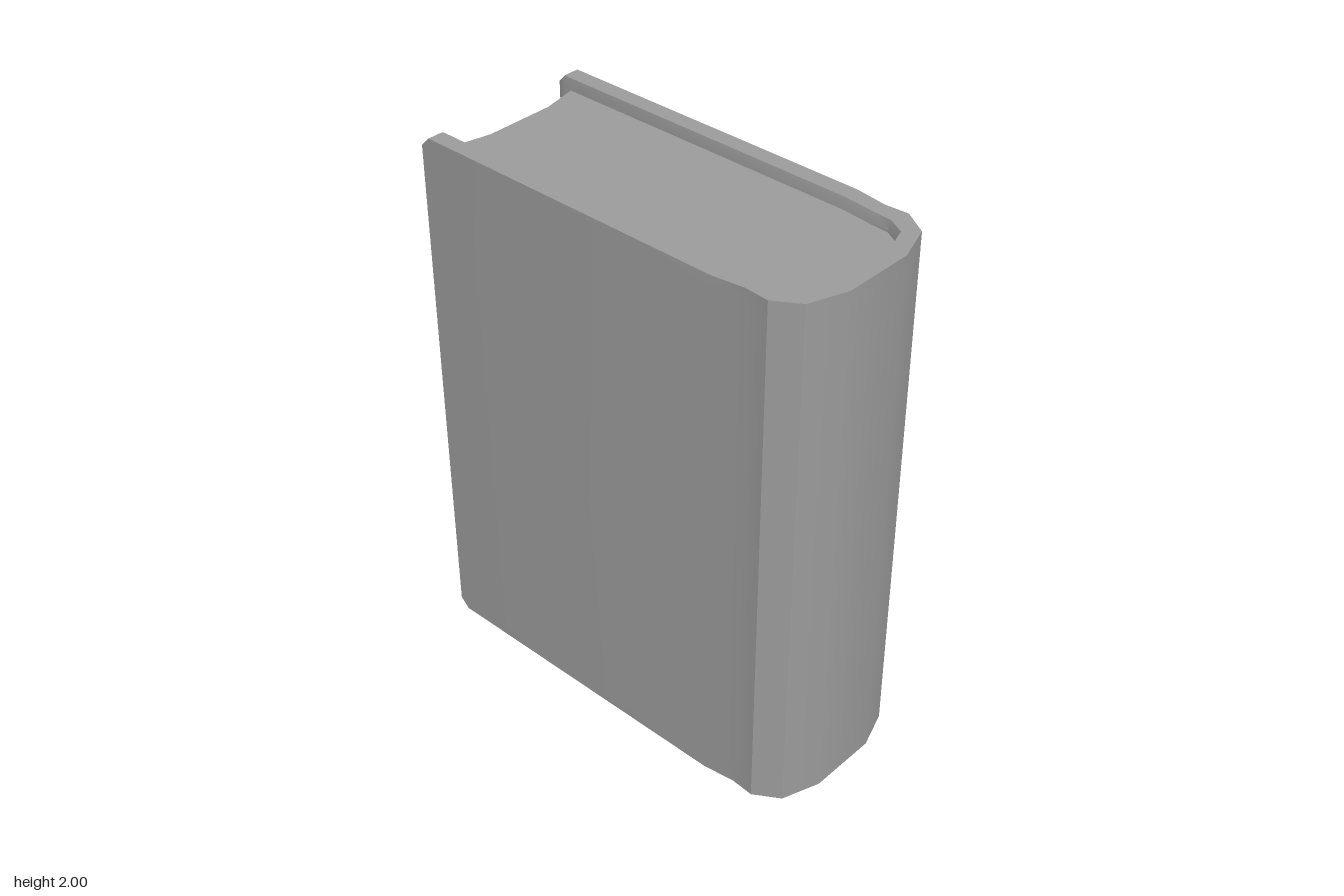
import * as THREE from 'three';
import { toCreasedNormals } from 'three/addons/utils/BufferGeometryUtils.js';

const HEIGHT = 2, RIM = 0.035, RECESS = 0.04;

// Half path on the +x side, continued with its mirror image in reverse.
const mirrored = (half) => [...half, ...half.map(([x, z]) => [-x, z]).reverse()];

// Lofts closed [x, z] rings stacked at given heights and caps both ends.
function loft(levels) {
  const pos = [];
  const tri = (a, b, c) => pos.push(...a, ...b, ...c);
  const rings = levels.map(({ y, ring }) => ring.map(([x, z]) => [x, y, z]));
  const n = rings[0].length;
  for (let k = 0; k < rings.length - 1; k++) {
    const lo = rings[k], hi = rings[k + 1];
    for (let i = 0; i < n; i++) {
      const j = (i + 1) % n;
      tri(lo[i], hi[i], hi[j]);
      tri(lo[i], hi[j], lo[j]);
    }
  }
  // Both ends share one outline; its triangles wind to face downwards.
  const bottom = rings[0], top = rings[rings.length - 1];
  const outline = levels[0].ring.map(([x, z]) => new THREE.Vector2(x, z));
  for (const [a, b, c] of THREE.ShapeUtils.triangulateShape(outline, [])) {
    tri(bottom[a], bottom[b], bottom[c]);
    tri(top[c], top[b], top[a]);
  }
  const geo = new THREE.BufferGeometry();
  geo.setAttribute('position', new THREE.Float32BufferAttribute(pos, 3));
  return toCreasedNormals(geo, 0.5);
}

// U-shaped cover section: two boards, hinge grooves and a rounded spine.
// At the rim the inner wall opens slightly and the board corners are cut.
function coverRing(atRim) {
  const open = atRim ? 0.009 : 0;
  const back = atRim ? -0.759 : -0.794;
  const outer = [
    [0.335, back], [0.335, -0.75], [0.335, 0.45], [0.319, 0.565],
    [0.325, 0.653], [0.268, 0.744], [0.13, 0.793],
  ];
  const inner = [
    [atRim ? 0.278 : 0.284, back], [0.265 + open, -0.75], [0.265 + open, 0.45],
    [0.253 + open, 0.57], [0.25 + open, 0.635], [0.217 + open, 0.694 + open / 2],
    [0.12, 0.727 + open],
  ];
  return [...mirrored(outer), ...mirrored(inner).reverse()];
}

// Page block section with a hollow fore-edge; the ends are bevelled at the back.
function pagesRing(atEnd) {
  const cut = atEnd ? 0.035 : 0;
  return mirrored([
    [0.13, -0.727 + cut], [0.27, -0.757 + cut], [0.27, 0.45],
    [0.258, 0.57], [0.255, 0.637], [0.222, 0.699], [0.122, 0.733],
  ]);
}

// Same section pair at both ends of the height range.
const stack = (ringAt, inset) => [
  { y: inset, ring: ringAt(true) },
  { y: inset + RIM, ring: ringAt(false) },
  { y: HEIGHT - inset - RIM, ring: ringAt(false) },
  { y: HEIGHT - inset, ring: ringAt(true) },
];

export function createModel() {
  const group = new THREE.Group();
  group.name = 'book';
  const material = new THREE.MeshStandardMaterial({ color: 0x9c9c9c });

  const cover = new THREE.Mesh(loft(stack(coverRing, 0)), material);
  cover.name = 'cover';
  const pages = new THREE.Mesh(loft(stack(pagesRing, RECESS)), material);
  pages.name = 'pages';

  group.add(cover, pages);
  return group;
}
